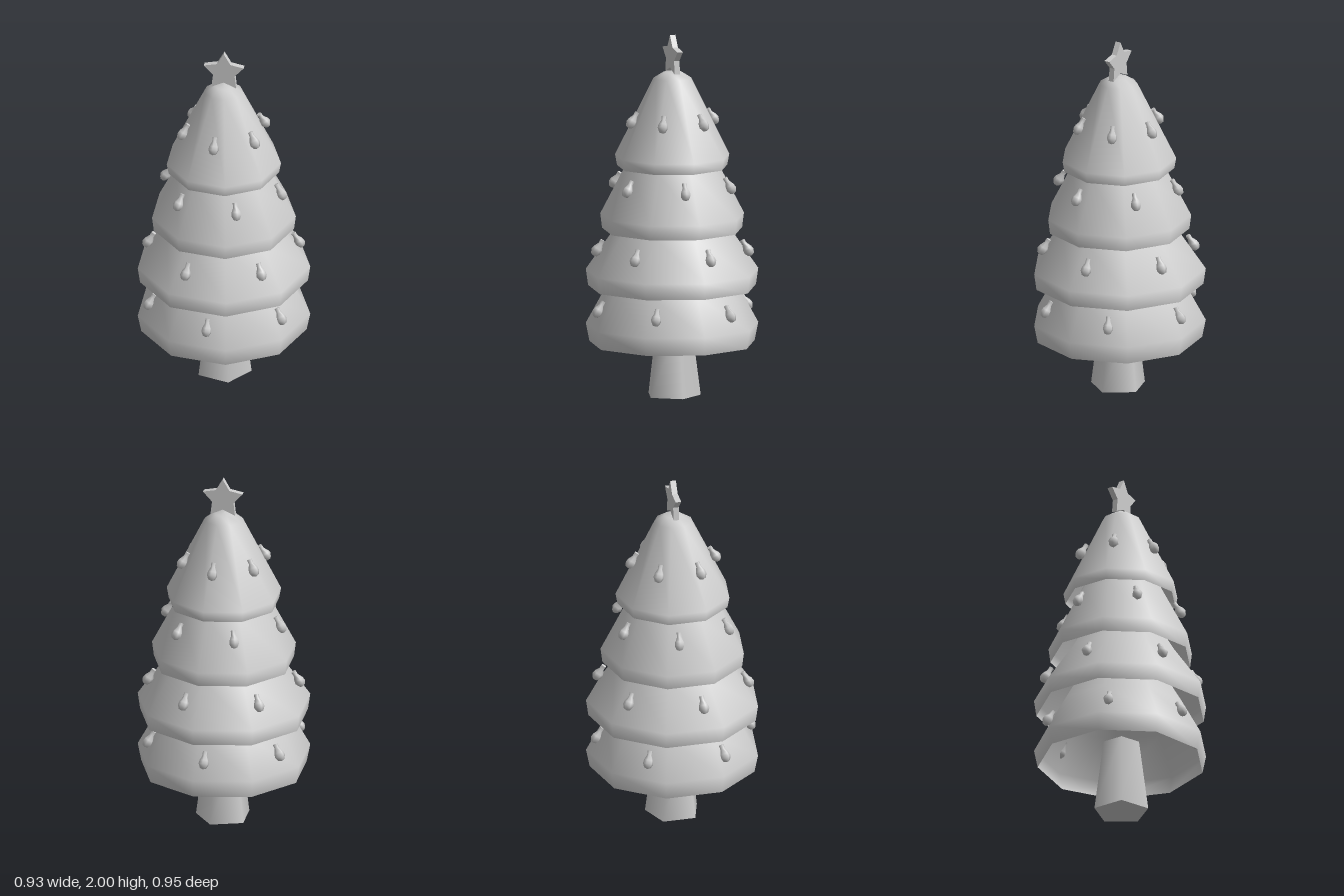
import * as THREE from 'three';

const grey = new THREE.MeshStandardMaterial({ color: 0xcccccc });
const greyOpen = new THREE.MeshStandardMaterial({ color: 0xcccccc, side: THREE.DoubleSide });
const CENTRE_X = -0.01;

// Revolve a profile of [radius, y] pairs, first corner on +x
function lathe(profile, sides) {
  const points = profile.map(([r, y]) => new THREE.Vector2(r, y));
  return new THREE.LatheGeometry(points, sides, Math.PI / 2);
}

function addMesh(parent, name, geometry, material) {
  const mesh = new THREE.Mesh(geometry, material);
  mesh.name = name;
  parent.add(mesh);
  return mesh;
}

// Flat five-pointed star, centred on its own thickness
function starGeometry(outer, inner, depth) {
  const shape = new THREE.Shape();
  for (let i = 0; i < 10; i++) {
    const a = Math.PI / 2 + (i * Math.PI) / 5;
    const r = i % 2 ? inner : outer;
    if (i) shape.lineTo(r * Math.cos(a), r * Math.sin(a));
    else shape.moveTo(r * Math.cos(a), r * Math.sin(a));
  }
  shape.closePath();
  return new THREE.ExtrudeGeometry(shape, { depth, bevelEnabled: false }).translate(0, 0, -depth / 2);
}

// Each tier: hollow skirt profile, and its ring of six bulbs
const tiers = [
  { profile: [[0.46, 0.29], [0.48, 0.39], [0.365, 0.6], [0.15, 0.97], [0, 1.0]],
    bulbY: 0.485, bulbR: 0.43, bulbAngle: 34 },
  { profile: [[0.467, 0.6], [0.48, 0.69], [0.32, 0.92], [0.13, 1.24], [0, 1.27]],
    bulbY: 0.805, bulbR: 0.415, bulbAngle: 51.5 },
  { profile: [[0.39, 0.92], [0.4, 1.0], [0.26, 1.27], [0.11, 1.56], [0, 1.59]],
    bulbY: 1.167, bulbR: 0.335, bulbAngle: 9.5 },
  { profile: [[0.307, 1.27], [0.318, 1.33], [0.105, 1.76], [0.05, 1.795], [0, 1.8]],
    bulbY: 1.525, bulbR: 0.235, bulbAngle: 35 },
];

export function createModel() {
  const tree = new THREE.Group();
  tree.name = 'decoratedTree';

  // Tapered five-sided trunk
  const trunk = addMesh(tree, 'trunk',
    new THREE.CylinderGeometry(0.102, 0.155, 0.41, 5, 1, false, Math.PI / 2), grey);
  trunk.position.set(CENTRE_X, 0.205, 0);

  // Light bulb: rounded drop with a narrow socket
  const bulbGeometry = lathe(
    [[0, -0.036], [0.018, -0.03], [0.029, -0.008], [0.026, 0.012], [0.013, 0.04], [0.014, 0.064]], 6);
  const socketCap = new THREE.CircleGeometry(0.014, 6).rotateX(-Math.PI / 2).translate(0, 0.064, 0);

  tiers.forEach((tier, t) => {
    const skirt = addMesh(tree, `foliageTier${t + 1}`, lathe(tier.profile, 9), greyOpen);
    skirt.position.x = CENTRE_X;

    // Bulbs hang around the tier, leaning in along the slope
    for (let k = 0; k < 6; k++) {
      const a = THREE.MathUtils.degToRad(tier.bulbAngle + k * 60);
      const bulb = new THREE.Group();
      bulb.name = `lightBulb${t + 1}_${k + 1}`;
      addMesh(bulb, 'bulbBody', bulbGeometry, grey);
      addMesh(bulb, 'socketCap', socketCap, grey);
      bulb.position.set(CENTRE_X + tier.bulbR * Math.cos(a), tier.bulbY, tier.bulbR * Math.sin(a));
      bulb.rotation.set(0, -a, 0.55);
      tree.add(bulb);
    }
  });

  // Star on the tip
  const star = addMesh(tree, 'topStar', starGeometry(0.116, 0.063, 0.032), grey);
  star.position.set(CENTRE_X + 0.003, 1.884, 0);

  return tree;
}
